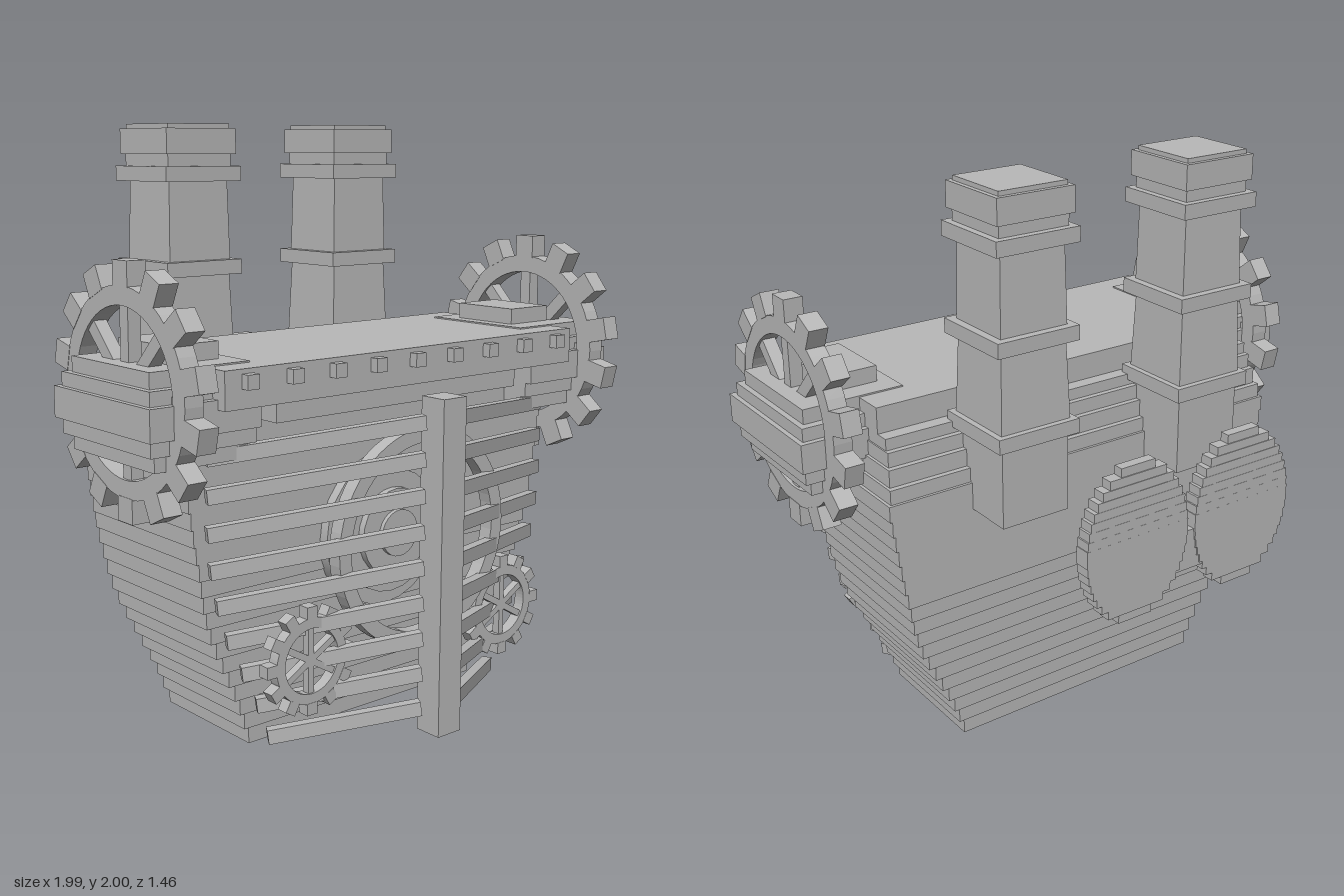
import * as THREE from 'three';

export function createModel() {
  const root = new THREE.Group();
  const grey = new THREE.MeshStandardMaterial({ color: 0xb8b8b8 });

  const add = (name, geo, x, y, z, parent = root) => {
    const m = new THREE.Mesh(geo, grey);
    m.name = name;
    m.position.set(x, y, z);
    parent.add(m);
    return m;
  };
  // box given by its min and max on each axis
  const block = (name, x0, x1, y0, y1, z0, z1, parent = root) =>
    add(name, new THREE.BoxGeometry(x1 - x0, y1 - y0, z1 - z0),
      (x0 + x1) / 2, (y0 + y1) / 2, (z0 + z1) / 2, parent);
  // square bar between two points
  const beam = (name, a, b, w, h) => {
    const p = new THREE.Vector3(...a), q = new THREE.Vector3(...b);
    const m = add(name, new THREE.BoxGeometry(w, h, p.distanceTo(q)),
      (a[0] + b[0]) / 2, (a[1] + b[1]) / 2, (a[2] + b[2]) / 2);
    m.lookAt(q);
    return m;
  };
  // flat ring in the xy plane, centred on z = 0
  const ringGeo = (outer, inner, depth, seg) => {
    const s = new THREE.Shape().absarc(0, 0, outer, 0, Math.PI * 2);
    s.holes.push(new THREE.Path().absarc(0, 0, inner, 0, Math.PI * 2, true));
    return new THREE.ExtrudeGeometry(s, { depth, bevelEnabled: false, curveSegments: seg })
      .translate(0, 0, -depth / 2);
  };
  const gear = (name, outer, inner, depth, teeth, tooth, spokes, spokeW) => {
    const g = new THREE.Group();
    g.name = name;
    add('gearRim', ringGeo(outer, inner, depth, 28), 0, 0, 0, g);
    for (let i = 0; i < teeth; i++) {
      const a = (i / teeth) * Math.PI * 2 + Math.PI / 2, r = outer + tooth * 0.42;
      add('gearTooth', new THREE.BoxGeometry(tooth, tooth, depth * 1.04),
        Math.cos(a) * r, Math.sin(a) * r, 0, g).rotation.z = a;
    }
    for (let i = 0; i < spokes / 2; i++) {
      add('gearSpoke', new THREE.BoxGeometry(spokeW, (inner + outer), depth * 0.7), 0, 0, 0, g)
        .rotation.z = (i / spokes) * Math.PI * 2;
    }
    root.add(g);
    return g;
  };
  // piecewise-linear lookup
  const lerpTable = (t, v) => {
    for (let i = 1; i < t.length; i++) {
      if (v <= t[i][0]) {
        const [a, b] = [t[i - 1], t[i]];
        return THREE.MathUtils.mapLinear(v, a[0], b[0], a[1], b[1]);
      }
    }
    return t[t.length - 1][1];
  };

  // Hull: stacked layers flaring upward
  const halfWidth = [[0, 0.51], [0.1, 0.535], [0.2, 0.58], [0.4, 0.68], [0.5, 0.715], [0.7, 0.755], [1, 0.8]];
  const layers = 18, lh = 1 / layers;
  for (let i = 0; i < layers; i++) {
    const y = i * lh, w = lerpTable(halfWidth, i === 0 ? 0 : y + lh / 2);
    const t = Math.min(y / 0.62, 1);
    block('hullLayer', -w, w, y, y + lh, -0.14 - 0.06 * t, 0.32 + 0.065 * t);
  }
  // Terraced upper hull
  [[1.0, 1.05, 0.785, -0.19], [1.05, 1.11, 0.775, -0.17], [1.11, 1.16, 0.765, -0.15], [1.16, 1.2, 0.76, -0.13]]
    .forEach(([y0, y1, w, z]) => block('upperHullLayer', -w, w, y0, y1, z, 0.39));
  block('collarUnderside', -0.53, 0.53, 1.1, 1.17, 0.35, 0.5);

  // Collar slab with studs
  block('collarSlab', -0.76, 0.76, 1.17, 1.29, -0.08, 0.55);
  for (let i = -4; i <= 4; i++) {
    const x = i * 0.169;
    block('collarStud', x - 0.022, x + 0.022, 1.23, 1.275, 0.54, 0.58);
  }

  // Furnace dome behind the ribs
  [[0.26, 0.42], [0.21, 0.45], [0.15, 0.475], [0.08, 0.49]].forEach(([r, z]) => {
    add('furnaceDisc', new THREE.CylinderGeometry(r, r, z - 0.36, 24).rotateX(Math.PI / 2), 0, 0.66, (z + 0.36) / 2);
  });
  add('furnaceRing', ringGeo(0.37, 0.32, 0.05, 32), 0.03, 0.66, 0.55);

  // Keel post and ribs
  block('keelPost', -0.05, 0.05, 0.03, 1.15, 0.635, 0.735);
  for (const s of [-1, 1]) {
    for (let i = 0; i < 9; i++) {
      const y = 1.075 - i * 0.1185, yo = y - 0.068;
      const x = Math.min(0.74, lerpTable(halfWidth, yo) - 0.015);
      beam('rib', [s * 0.08, y, 0.68], [s * x, yo, 0.42], 0.035, 0.048);
    }
  }

  for (const s of [-1, 1]) {
    // Shoulder: stacked slabs and a cap
    const shoulder = new THREE.Group();
    shoulder.name = s > 0 ? 'leftShoulder' : 'rightShoulder';
    root.add(shoulder);
    [[1.0, 1.05, 0.955, 0.02, 0.47], [1.05, 1.1, 0.98, 0.0, 0.49], [1.1, 1.2, 0.997, -0.02, 0.515],
      [1.2, 1.245, 0.98, 0.0, 0.49], [1.245, 1.295, 0.96, 0.03, 0.46]].forEach(([y0, y1, x, z0, z1]) => {
      block('shoulderSlab', Math.min(s * 0.6, s * x), Math.max(s * 0.6, s * x), y0, y1, z0, z1, shoulder);
    });
    block('shoulderCap', s * 0.745 - 0.095, s * 0.745 + 0.095, 1.29, 1.35, 0.11, 0.37, shoulder);

    // Large side gear and small front gear
    const big = gear('shoulderGear', 0.325, 0.265, 0.065, 14, 0.08, 8, 0.045);
    big.rotation.y = Math.PI / 2;
    big.position.set(s * 0.882, 1.2, 0.245);
    const small = gear('frontGear', 0.142, 0.108, 0.04, 12, 0.04, 6, 0.022);
    small.position.set(s * 0.437, 0.335, 0.538);

    // Chimney: tapered square shaft, bands and cap
    const chimney = new THREE.Group();
    chimney.name = 'chimney';
    chimney.position.set(s * 0.36, 0, -0.252);
    root.add(chimney);
    [[0.905, 1.2, 0.127, 0.127], [1.2, 1.52, 0.133, 0.121], [1.52, 1.84, 0.125, 0.118], [1.84, 1.92, 0.128, 0.128],
      [1.18, 1.23, 0.153, 0.153], [1.495, 1.545, 0.153, 0.153], [1.81, 1.86, 0.153, 0.153],
      [1.9, 1.985, 0.141, 0.141], [1.985, 2, 0.125, 0.125]].forEach(([y0, y1, b, t]) => {
      const geo = new THREE.CylinderGeometry(t * Math.SQRT2, b * Math.SQRT2, y1 - y0, 4)
        .rotateY(Math.PI / 4).toNonIndexed();
      geo.computeVertexNormals();
      add('chimneySection', geo, 0, (y0 + y1) / 2, 0, chimney);
    });

    // Winding key lobe: stepped rows forming an oval
    const rows = 18, h = 0.54 / rows;
    for (let i = 0; i < rows; i++) {
      const u = ((i + 0.5) / rows) * 2 - 1, r = Math.sqrt(1 - u * u);
      const y = 0.65 + i * h, d = 0.012 + 0.016 * r;
      block('keyLobe', s * 0.215 - 0.2 * r, s * 0.215 + 0.2 * r, y, y + h, -0.7 - d, -0.7 + d);
    }
  }

  // Winding key shaft, hub and socket
  block('keyHub', -0.06, 0.06, 0.76, 0.9, -0.722, -0.678);
  beam('keyShaft', [0, 0.735, -0.36], [0, 0.79, -0.7], 0.036, 0.04);
  const socket = block('keySocket', -0.05, 0.05, 0.7, 0.77, -0.4, -0.29);
  socket.rotation.x = 0.08;

  return root;
}
